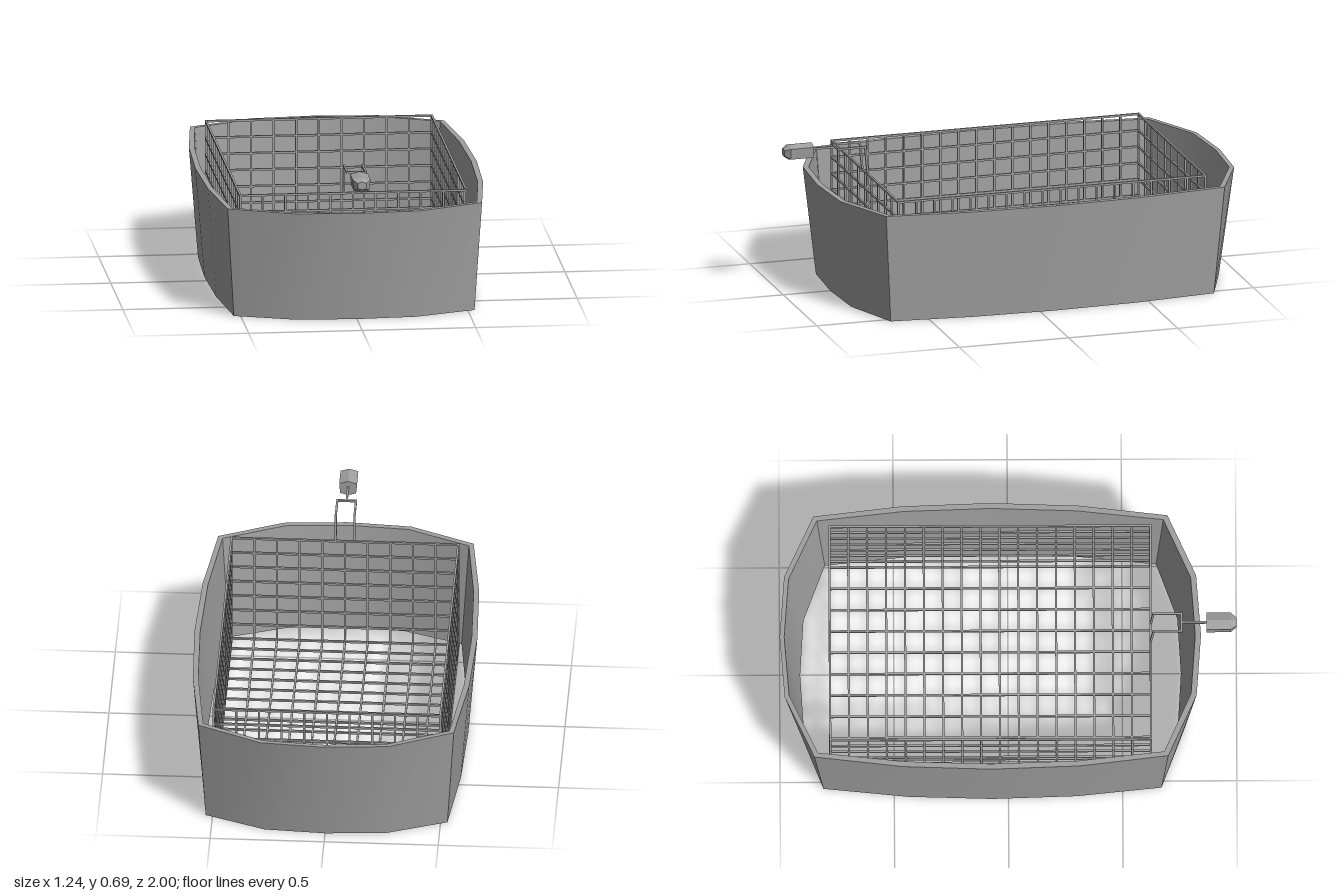
import * as THREE from 'three';
import { mergeGeometries } from 'three/addons/utils/BufferGeometryUtils.js';

const WIRE = 0.009;

// Four bowed sides of the tub outline, counter-clockwise from above, starting at the front left corner
function outline(y, cornerX, midX, frontZ, frontMid, backZ, backMid) {
  const sides = [[], [], [], []];
  const bow = [0, 0.86, 1, 0.86, 0];
  const sideBow = [0, 0.77, 1, 0.77, 0];
  for (let i = 0; i <= 4; i++) {
    const t = i / 4;
    const x = cornerX * (1 - 2 * t);
    const sideX = cornerX + (midX - cornerX) * sideBow[i];
    sides[0].push([sideX, y, frontZ + (backZ - frontZ) * t]);
    sides[1].push([x, y, backZ + (backMid - backZ) * bow[i]]);
    sides[2].push([-sideX, y, backZ + (frontZ - backZ) * t]);
    sides[3].push([-x, y, frontZ + (frontMid - frontZ) * bow[i]]);
  }
  return sides;
}

// Smooth strip of quads between two rows of points
function strip(a, b) {
  const index = [];
  const n = a.length;
  for (let i = 0; i < n - 1; i++) index.push(i, i + 1, n + i + 1, i, n + i + 1, n + i);
  const g = new THREE.BufferGeometry();
  g.setAttribute('position', new THREE.Float32BufferAttribute([...a, ...b].flat(), 3));
  g.setIndex(index);
  g.computeVertexNormals();
  return g;
}

// Square wire along one straight run
function bar(a, b) {
  const from = new THREE.Vector3(...a), to = new THREE.Vector3(...b);
  const dir = to.clone().sub(from);
  const g = new THREE.BoxGeometry(WIRE, WIRE, dir.length() + WIRE);
  const alongY = Math.abs(dir.x) < 1e-6 && Math.abs(dir.z) < 1e-6;
  if (alongY) g.rotateX(Math.PI / 2);
  else g.applyQuaternion(new THREE.Quaternion().setFromUnitVectors(new THREE.Vector3(0, 0, 1), dir.normalize()));
  const mid = from.add(to).multiplyScalar(0.5);
  return g.translate(mid.x, mid.y, mid.z);
}

export function createModel() {
  const model = new THREE.Group();
  model.name = 'fryerBasketInTub';
  const steel = new THREE.MeshStandardMaterial({ color: 0xa0a0a0 });
  steel.name = 'steel grey';
  const add = (name, geometry, parent = model) => {
    const mesh = new THREE.Mesh(geometry, steel);
    mesh.name = name;
    parent.add(mesh);
    return mesh;
  };

  // Tub: flared walls with thickness, open at top and bottom
  const top = 0.49;
  const outTop = outline(top, 0.56, 0.62, 0.70, 0.845, -0.85, -1.0);
  const inTop = outline(top, 0.54, 0.595, 0.682, 0.82, -0.835, -0.98);
  const outBottom = outline(0, 0.53, 0.58, 0.67, 0.785, -0.81, -0.93);
  const inBottom = outline(0, 0.51, 0.56, 0.65, 0.757, -0.80, -0.91);
  const tub = new THREE.Group();
  tub.name = 'tub';
  model.add(tub);
  ['leftWall', 'backWall', 'rightWall', 'frontWall'].forEach((name, s) => {
    add(name, mergeGeometries([
      strip(outBottom[s], outTop[s]),
      strip(inTop[s], inBottom[s]),
      strip(outTop[s], inTop[s]),
      strip(inBottom[s], outBottom[s]),
    ]), tub);
  });

  // Basket: wire grid on the floor and four walls
  const X = 0.497, front = 0.625, back = -0.78, low = 0.01, high = 0.53;
  const columns = 10, slices = 17, rows = 7;
  const floor = [], walls = [];
  for (let i = 0; i <= columns; i++) {
    const x = -X + (2 * X * i) / columns;
    floor.push(bar([x, low, back], [x, low, front]));
    for (const z of [back, front]) walls.push(bar([x, low, z], [x, high, z]));
  }
  for (let i = 0; i <= slices; i++) {
    const z = back + ((front - back) * i) / slices;
    floor.push(bar([-X, low, z], [X, low, z]));
    for (const x of [-X, X]) walls.push(bar([x, low, z], [x, high, z]));
  }
  for (let i = 1; i <= rows; i++) {
    const y = low + ((high - low) * i) / rows;
    for (const z of [back, front]) walls.push(bar([-X, y, z], [X, y, z]));
    for (const x of [-X, X]) walls.push(bar([x, y, back], [x, y, front]));
  }
  const basket = new THREE.Group();
  basket.name = 'basket';
  model.add(basket);
  add('basketFloor', mergeGeometries(floor), basket);
  add('basketWalls', mergeGeometries(walls), basket);

  // Handle: two bent wires joined by a crossbar and a single stem
  const hy = 0.655, hz = 0.76;
  const frame = [bar([-0.041, hy, hz], [0.041, hy, hz]), bar([0, hy, hz], [0, hy, 0.88])];
  for (const x of [-0.041, 0.041]) {
    frame.push(bar([x, high, front], [x, hy, 0.637]), bar([x, hy, 0.637], [x, hy, hz]));
  }
  add('handleFrame', mergeGeometries(frame));

  // Grip: six-sided block with a tapered nose
  const section = [[0.035, -0.026], [0.039, 0.022], [0, 0.034], [-0.039, 0.022], [-0.035, -0.026], [0, -0.036]];
  const ring = (z, s) => section.map(([x, y]) => [x * s, 0.651 + y * s, z]);
  const rings = [ring(0.87, 0.001), ring(0.87, 1), ring(0.975, 1), ring(1.0, 0.5), ring(1.0, 0.001)];
  const faces = [];
  for (let r = 0; r < rings.length - 1; r++) {
    for (let i = 0; i < 6; i++) {
      const j = (i + 1) % 6;
      faces.push(strip([rings[r][i], rings[r][j]], [rings[r + 1][i], rings[r + 1][j]]));
    }
  }
  add('grip', mergeGeometries(faces));
  return model;
}
